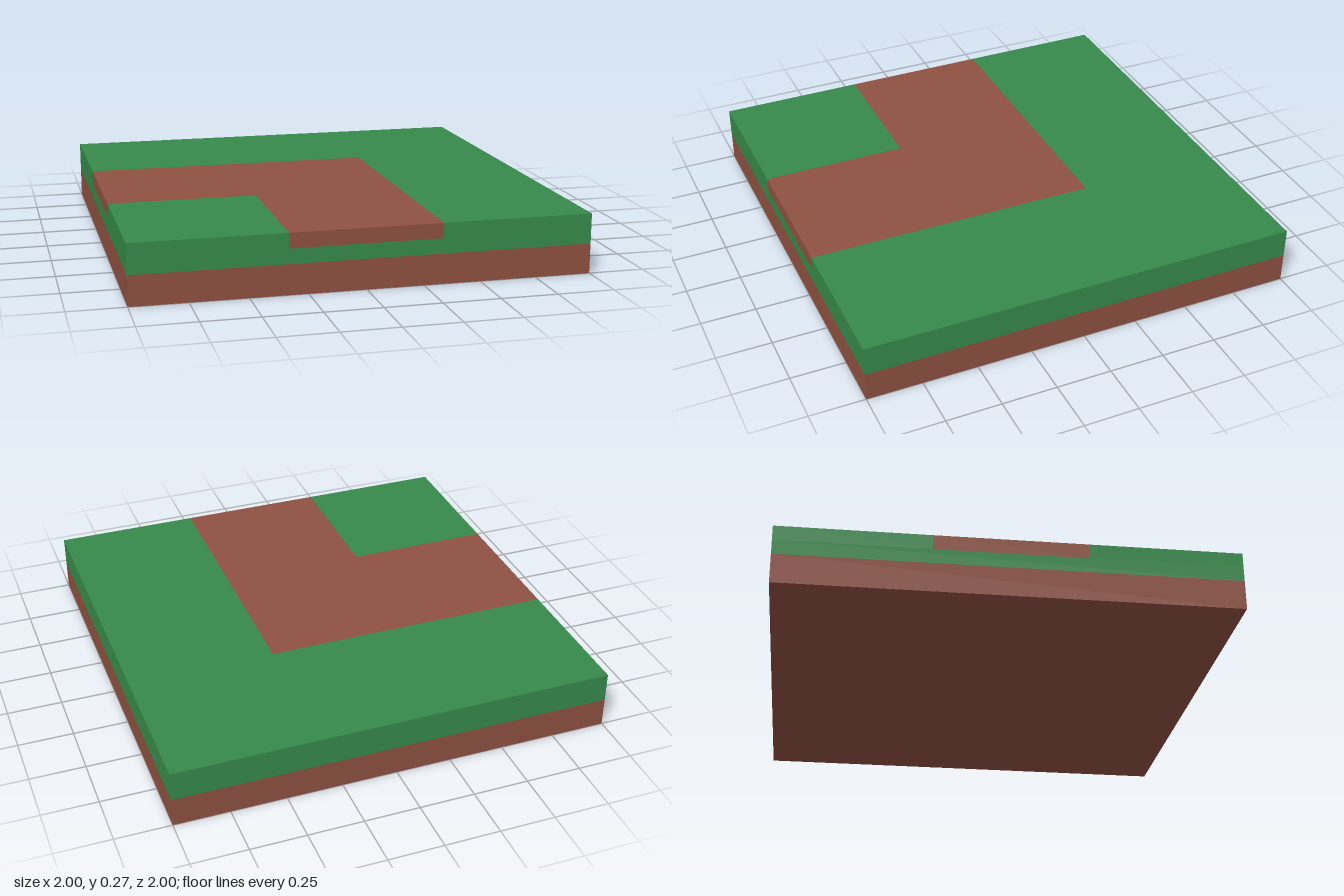
import * as THREE from 'three';

const SIZE = 2;
const T = 1 / 3; // half width of the path: the tile is split in thirds
const BASE_TOP = 0.1333, PATH_BOTTOM = 0.2, TOP = 0.2667;

// Extrude a ground outline, given as [x, z] points, from y0 up to y1
function slab(name, points, y0, y1, material) {
  const shape = new THREE.Shape(points.map(([x, z]) => new THREE.Vector2(x, -z)));
  const geometry = new THREE.ExtrudeGeometry(shape, { depth: y1 - y0, bevelEnabled: false });
  geometry.rotateX(-Math.PI / 2);
  const mesh = new THREE.Mesh(geometry, material);
  mesh.name = name;
  mesh.position.y = y0;
  return mesh;
}

export function createModel() {
  const dirt = new THREE.MeshStandardMaterial({ color: 0x8f5141 });
  dirt.name = 'dirt brown';
  const grass = new THREE.MeshStandardMaterial({ color: 0x368a4b });
  grass.name = 'grass green';

  const h = SIZE / 2;
  const square = [[-h, -h], [h, -h], [h, h], [-h, h]];
  const model = new THREE.Group();
  model.name = 'cornerPathTile';

  model.add(
    // Soil and the turf layer under the path
    slab('soilBase', square, 0, BASE_TOP, dirt),
    slab('lowerTurf', square, BASE_TOP, PATH_BOTTOM, grass),
    // Turf around the outside of the bend
    slab('outerTurf', [[-h, -h], [h, -h], [h, h], [T, h], [T, -T], [-h, -T]], PATH_BOTTOM, TOP, grass),
    // Turf square inside the bend
    slab('innerTurf', [[-h, T], [-T, T], [-T, h], [-h, h]], PATH_BOTTOM, TOP, grass),
    // Path turning from the -x side to the front, flush with the turf
    slab('path', [[-h, -T], [T, -T], [T, h], [-T, h], [-T, T], [-h, T]], PATH_BOTTOM, TOP, dirt),
  );
  return model;
}
